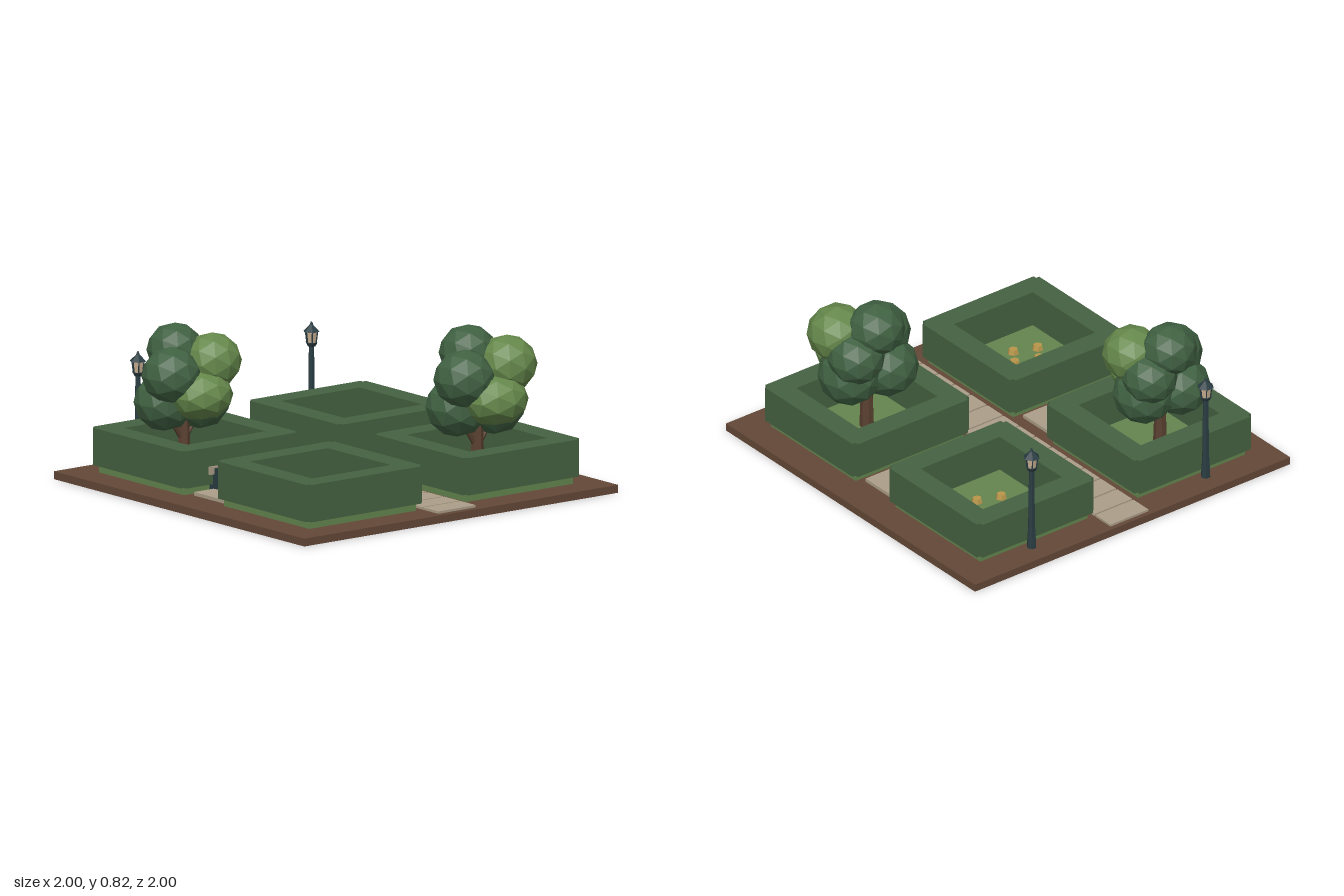
import * as THREE from 'three';

const mat = (name, color, flat = false) => {
  const m = new THREE.MeshStandardMaterial({ color, flatShading: flat });
  m.name = name;
  return m;
};

export function createModel() {
  const soil = mat('soil brown', 0x644837);
  const stone = mat('paving stone', 0xac9e88);
  const grass = mat('lawn green', 0x64854f);
  const hedgeGreen = mat('hedge green', 0x456241);
  const leafDark = mat('dark foliage', 0x406142, true);
  const leafLight = mat('light foliage', 0x65884b, true);
  const bark = mat('bark', 0x5a4030, true);
  const iron = mat('dark iron', 0x2a3d43, true);
  const glass = mat('lantern glass', 0xc8ae90, true);
  const gold = mat('flower gold', 0xb8964a, true);

  const root = new THREE.Group();
  root.name = 'garden';

  const add = (parent, name, geometry, material, x = 0, y = 0, z = 0) => {
    const mesh = new THREE.Mesh(geometry, material);
    mesh.name = name;
    mesh.position.set(x, y, z);
    parent.add(mesh);
    return mesh;
  };
  const group = (name, x, y, z) => {
    const g = new THREE.Group();
    g.name = name;
    g.position.set(x, y, z);
    root.add(g);
    return g;
  };
  const box = (w, h, d) => new THREE.BoxGeometry(w, h, d);
  // Six-sided prism with corners pointing along x
  const hex = (top, bottom, h) => new THREE.CylinderGeometry(top, bottom, h, 6).rotateY(Math.PI / 6);

  // Ground slab
  add(root, 'ground', box(2, 0.04, 2), soil, 0, 0.02, 0);

  // Central path
  const pathSlab = box(0.24, 0.014, 0.12);
  for (let i = 0; i < 15; i++) add(root, 'pathSlab', pathSlab, stone, 0, 0.045, -0.915 + i * 0.13);

  // Side paving between the beds
  const sideSlab = box(0.29, 0.02, 0.25);
  for (const x of [-0.66, -0.34, 0.34, 0.66]) add(root, 'sideSlab', sideSlab, stone, x, 0.048, 0);

  // Hedge ring with notched corners, hollow in the middle
  const a = 0.37, b = 0.35, c = 0.25;
  const corners = [];
  for (let i = 0; i < 4; i++) {
    const q = (i * Math.PI) / 2;
    for (const [x, y] of [[a, -b], [a, b], [b, b]]) {
      corners.push(new THREE.Vector2(x, y).rotateAround(new THREE.Vector2(), q));
    }
  }
  const ring = new THREE.Shape(corners);
  ring.holes.push(new THREE.Path([[-c, -c], [-c, c], [c, c], [c, -c]].map(([x, y]) => new THREE.Vector2(x, y))));
  const hedgeGeo = new THREE.ExtrudeGeometry(ring, { depth: 0.19, bevelEnabled: false }).rotateX(-Math.PI / 2);
  const lawnGeo = box(0.68, 0.04, 0.68);
  for (const x of [-0.5, 0.5]) {
    for (const z of [-0.5, 0.5]) {
      const bed = group('bed', x, 0, z);
      add(bed, 'lawn', lawnGeo, grass, 0, 0.06, 0);
      add(bed, 'hedge', hedgeGeo, hedgeGreen, 0, 0.08, 0);
    }
  }

  // Flowers in two opposite beds
  const flowerGeo = hex(0.023, 0.03, 0.025);
  const stemGeo = hex(0.008, 0.008, 0.02);
  for (const s of [1, -1]) {
    const patch = group('flowers', 0.5 * s, 0.08, -0.5 * s);
    for (const [x, z] of [[-0.07, 0.01], [-0.01, -0.077], [0.11, -0.033], [0.05, 0.053]]) {
      add(patch, 'flowerStem', stemGeo, grass, x * s, 0.01, z * s);
      add(patch, 'flowerHead', flowerGeo, gold, x * s, 0.0275, z * s);
    }
  }

  // Trees: tapered trunk, two branches and a cluster of leaf clumps
  const clump = new THREE.IcosahedronGeometry(1, 1);
  const clumps = [
    // x, y, z, radius, height radius, material
    [0.01, 0.605, -0.085, 0.148, 0.14, leafDark],
    [0.132, 0.555, 0.07, 0.155, 0.148, leafLight],
    [0.03, 0.395, 0.1, 0.172, 0.135, leafLight],
    [-0.1, 0.5, 0.025, 0.157, 0.15, leafDark],
    [-0.08, 0.345, -0.06, 0.16, 0.155, leafDark],
    [0.115, 0.35, -0.01, 0.165, 0.165, leafDark],
    [0.125, 0.47, -0.07, 0.145, 0.14, leafDark],
  ];
  const addTree = (x, z, scale) => {
    const tree = group('tree', x, 0.08, z);
    tree.scale.setScalar(scale);
    add(tree, 'trunk', new THREE.CylinderGeometry(0.025, 0.038, 0.36, 7), bark, 0, 0.18, 0);
    for (const s of [-1, 1]) {
      const branch = add(tree, 'branch', new THREE.CylinderGeometry(0.01, 0.015, 0.16, 6), bark, 0.045 * s, 0.2, 0);
      branch.rotation.z = -0.6 * s;
    }
    for (const [cx, cy, cz, r, h, material] of clumps) {
      add(tree, 'leafClump', clump, material, cx, cy, cz).scale.set(r, h, r);
    }
  };
  addTree(0.5, 0.5, 1);
  addTree(-0.54, -0.54, 0.965);

  // Benches set against the back hedges
  for (const x of [-0.555, 0.55]) {
    const bench = group('bench', x, 0, -0.127);
    add(bench, 'benchPlank', box(0.306, 0.04, 0.016), stone, 0, 0.152, 0);
    for (const s of [-1, 1]) {
      add(bench, 'benchPost', box(0.03, 0.105, 0.03), iron, 0.11 * s, 0.11, 0.011);
      add(bench, 'benchFoot', box(0.03, 0.045, 0.035), iron, 0.11 * s, 0.062, -0.015);
    }
  }

  // Lamp posts at the back
  for (const x of [-0.555, 0.55]) {
    const lamp = group('lampPost', x, 0, -0.885);
    add(lamp, 'lampBase', hex(0.02, 0.025, 0.11), iron, 0, 0.095, 0);
    add(lamp, 'lampPole', hex(0.014, 0.019, 0.35), iron, 0, 0.315, 0);
    add(lamp, 'lampCollar', hex(0.032, 0.02, 0.02), iron, 0, 0.495, 0);
    add(lamp, 'lantern', hex(0.032, 0.024, 0.06), glass, 0, 0.532, 0);
    for (let i = 0; i < 6; i++) {
      const t = (i * Math.PI) / 3;
      const bar = add(lamp, 'lanternBar', box(0.006, 0.06, 0.006), iron, 0.028 * Math.cos(t), 0.532, 0.028 * Math.sin(t));
      bar.rotation.set(0, -t, -0.13);
    }
    add(lamp, 'lampRoof', hex(0.008, 0.043, 0.035), iron, 0, 0.578, 0);
    add(lamp, 'lampFinial', hex(0.004, 0.01, 0.016), iron, 0, 0.602, 0);
  }

  return root;
}
